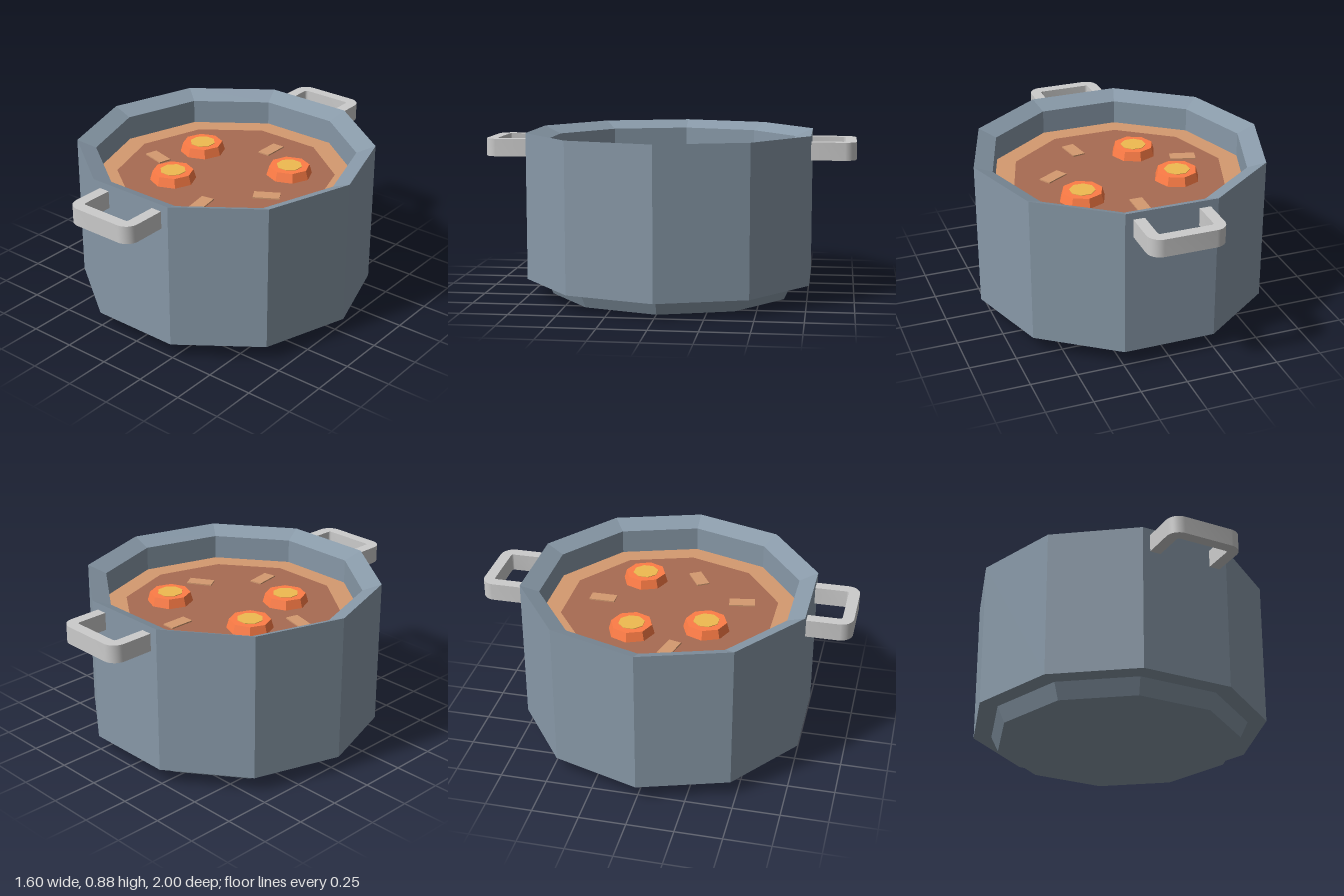
import * as THREE from 'three';
import { toCreasedNormals } from 'three/addons/utils/BufferGeometryUtils.js';

const SIDES = 10;
const SOUP_Y = 0.705;

function mat(color, flatShading = true) {
  return new THREE.MeshStandardMaterial({ color, flatShading });
}

function add(parent, name, geometry, material, x = 0, y = 0, z = 0) {
  const mesh = new THREE.Mesh(geometry, material);
  mesh.name = name;
  mesh.position.set(x, y, z);
  parent.add(mesh);
  return mesh;
}

// Flat bracket with rounded outer corners, its legs sunk into the pot wall
function handleGeometry() {
  const w = 0.205, t = 0.06, z0 = 0.73, z1 = 1, r = 0.07, q = 0.015;
  const s = new THREE.Shape();
  s.moveTo(-w, z0);
  s.lineTo(-w + t, z0);
  s.lineTo(-w + t, z1 - t - q);
  s.quadraticCurveTo(-w + t, z1 - t, -w + t + q, z1 - t);
  s.lineTo(w - t - q, z1 - t);
  s.quadraticCurveTo(w - t, z1 - t, w - t, z1 - t - q);
  s.lineTo(w - t, z0);
  s.lineTo(w, z0);
  s.lineTo(w, z1 - r);
  s.absarc(w - r, z1 - r, r, 0, Math.PI / 2, false);
  s.lineTo(-w + r, z1);
  s.absarc(-w + r, z1 - r, r, Math.PI / 2, Math.PI, false);
  s.closePath();
  const g = new THREE.ExtrudeGeometry(s, { depth: 0.095, bevelEnabled: false, curveSegments: 6 });
  g.rotateX(Math.PI / 2);
  g.translate(0, 0.843, 0);
  return toCreasedNormals(g, 0.6);
}

export function createModel() {
  const model = new THREE.Group();
  model.name = 'soupPot';

  // Pot: foot, ledge, outer wall, inward sloping rim and inner wall
  const profile = [
    [0, 0], [0.66, 0], [0.7, 0.085], [0.8, 0.085],
    [0.8, 0.88], [0.7, 0.838], [0.7, SOUP_Y],
  ].map(([x, y]) => new THREE.Vector2(x, y));
  add(model, 'pot', new THREE.LatheGeometry(profile, SIDES, Math.PI / 2), mat(0x8899a8));

  // Soup: pale border around a darker centre
  const pale = mat(0xd59a70);
  add(model, 'soupBorder', new THREE.RingGeometry(0.59, 0.7, SIDES).rotateX(-Math.PI / 2), pale, 0, SOUP_Y);
  add(model, 'soup', new THREE.CircleGeometry(0.59, SIDES).rotateX(-Math.PI / 2), mat(0xa86b52), 0, SOUP_Y);

  // Thin strips floating on the soup: x, z, turn
  const strips = [[0.02, -0.38, Math.PI / 2], [0.345, 0.087, 0.54], [0.135, 0.37, -1.4], [-0.41, 0.088, -0.26]];
  for (const [x, z, turn] of strips) {
    add(model, 'strip', new THREE.BoxGeometry(0.14, 0.01, 0.07), pale, x, SOUP_Y + 0.002, z).rotation.y = turn;
  }

  // Carrot slices with a yellow core
  const orange = mat(0xff7d46), yellow = mat(0xf0ba50);
  for (const [x, z] of [[-0.28, -0.143], [0.277, -0.203], [-0.173, 0.235]]) {
    const slice = new THREE.Group();
    slice.name = 'carrotSlice';
    slice.position.set(x, SOUP_Y, z);
    add(slice, 'carrot', new THREE.CylinderGeometry(0.11, 0.13, 0.07, 8), orange, 0, 0.015);
    add(slice, 'carrotCore', new THREE.CylinderGeometry(0.07, 0.07, 0.02, 8), yellow, 0, 0.043).rotation.y = Math.PI / 8;
    model.add(slice);
  }

  // Handles at front and back
  const handle = handleGeometry(), metal = mat(0xcccccc, false);
  add(model, 'frontHandle', handle, metal);
  add(model, 'backHandle', handle, metal).rotation.y = Math.PI;

  return model;
}
